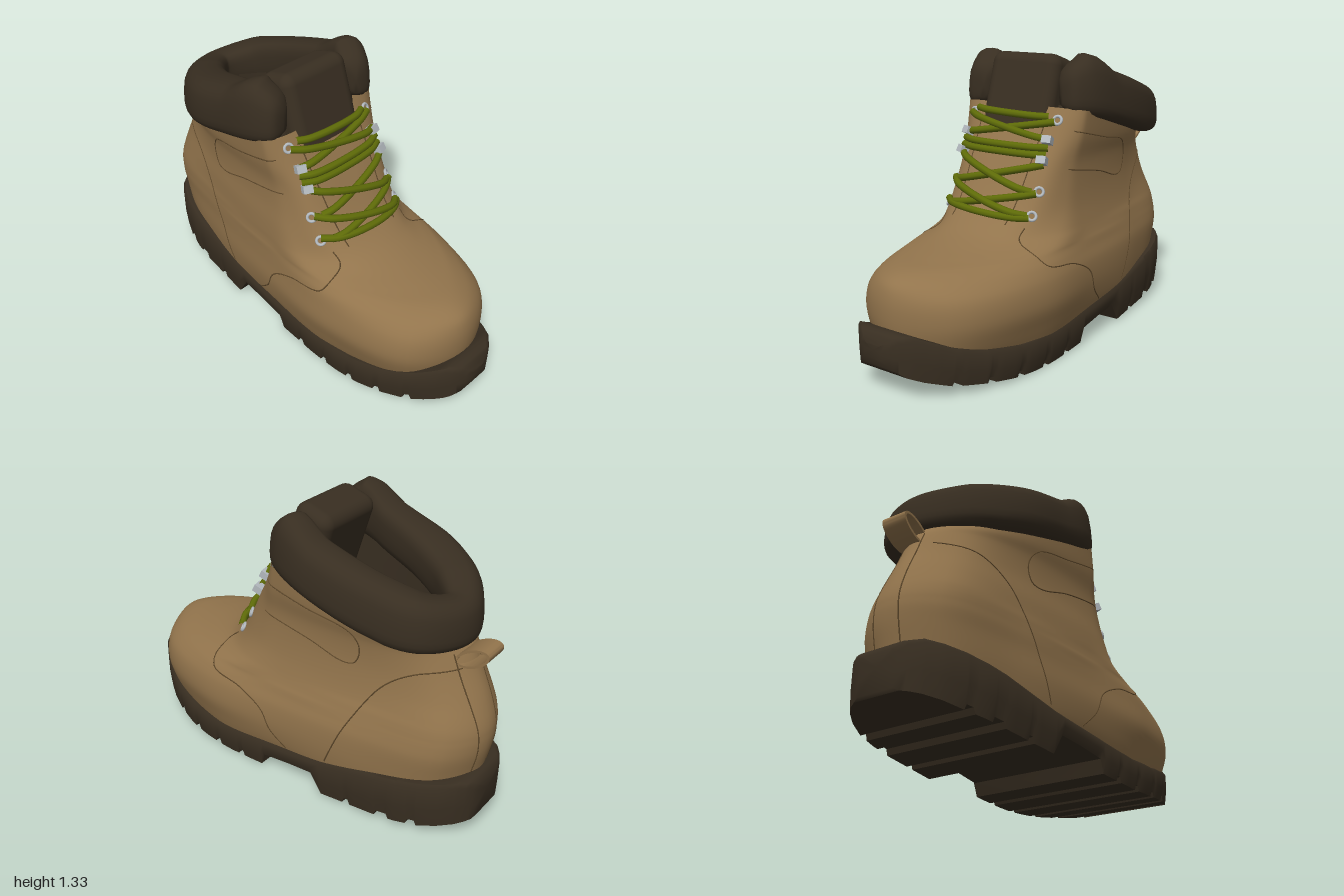
import * as THREE from 'three';
import { toCreasedNormals } from 'three/addons/utils/BufferGeometryUtils.js';
import { RoundedBoxGeometry } from 'three/addons/geometries/RoundedBoxGeometry.js';

const V = (x, y, z) => new THREE.Vector3(x, y, z);
const bend = (x) => (x > 0 ? 0.055 * x * x : 0.028 * x); // slight sideways curve of the foot

// Linear lookup in a short table of [x, value]
function lookup(table, x) {
  if (x <= table[0][0]) return table[0][1];
  for (let i = 1; i < table.length; i++) {
    const [x0, v0] = table[i - 1], [x1, v1] = table[i];
    if (x <= x1) return v0 + (v1 - v0) * (x - x0) / (x1 - x0);
  }
  return table[table.length - 1][1];
}

// Skin over closed cross-sections, optionally closing the first and last one
function loft(rows, capStart = false, capEnd = false) {
  const n = rows[0].length, pts = rows.flat(), idx = [];
  for (let i = 0; i < rows.length - 1; i++) for (let j = 0; j < n; j++) {
    const a = i * n + j, b = i * n + (j + 1) % n;
    idx.push(a, b, a + n, b, b + n, a + n);
  }
  const cap = (row, start, flip) => {
    const c = pts.length;
    pts.push(row.reduce((s, p) => s.add(p), V(0, 0, 0)).divideScalar(n));
    for (let j = 0; j < n; j++) {
      const a = start + j, b = start + (j + 1) % n;
      flip ? idx.push(c, b, a) : idx.push(c, a, b);
    }
  };
  if (capStart) cap(rows[0], 0, true);
  if (capEnd) cap(rows[rows.length - 1], (rows.length - 1) * n, false);
  const g = new THREE.BufferGeometry().setFromPoints(pts);
  g.setIndex(idx);
  g.computeVertexNormals();
  return g;
}

// Foot-shaped ring: heel height, front height, heel x, front x, half widths at five stations
const lean = [[0.4, 0], [0.62, 0.027], [1.1, 0.025]];
function ring([yb, yf, xb, xf, ...w]) {
  const xs = [xb + 0.11, -0.5, -0.05, -0.05 + (xf + 0.05) * 0.45, -0.05 + (xf + 0.05) * 0.87];
  const at = (x, z) => {
    const y = yb + (yf - yb) * (x - xb) / (xf - xb);
    return V(x, y, z + bend(x) + lookup(lean, y));
  };
  const pts = [at(xb, 0), ...xs.map((x, i) => at(x, w[i])), at(xf, 0),
    ...xs.map((x, i) => at(x, -w[i])).reverse()];
  return new THREE.CatmullRomCurve3(pts, true).getPoints(96).slice(0, 96);
}

function skin(table, steps) {
  const rings = table.map(ring);
  const columns = rings[0].map((_, j) =>
    new THREE.CatmullRomCurve3(rings.map((r) => r[j])).getPoints(steps));
  return Array.from({ length: steps + 1 }, (_, i) => columns.map((c) => c[i]));
}

export function createModel() {
  const boot = new THREE.Group();
  boot.name = 'boot';
  const mat = (name, color, side = THREE.FrontSide) => {
    const m = new THREE.MeshStandardMaterial({ color, side });
    m.name = name;
    return m;
  };
  const leather = mat('tan leather', 0x92744c, THREE.DoubleSide);
  const dark = mat('dark brown padding', 0x382e21, THREE.DoubleSide);
  const seamMat = mat('seam brown', 0x604a2c);
  const green = mat('olive lace', 0x5f6c08);
  const metal = mat('metal', 0xb4babf);
  const add = (name, geo, m, parent = boot) => {
    const mesh = new THREE.Mesh(geo, m);
    mesh.name = name;
    parent.add(mesh);
    return mesh;
  };

  // Leather upper
  const upper = add('upper', loft(skin([
    [0.12, 0.12, -0.92, 0.88, 0.18, 0.28, 0.32, 0.335, 0.21],
    [0.20, 0.20, -0.94, 0.90, 0.19, 0.295, 0.345, 0.36, 0.24],
    [0.30, 0.30, -0.957, 0.915, 0.20, 0.305, 0.36, 0.385, 0.26],
    [0.40, 0.40, -0.977, 0.91, 0.205, 0.305, 0.355, 0.375, 0.245],
    [0.46, 0.46, -0.983, 0.885, 0.205, 0.30, 0.345, 0.355, 0.20],
    [0.495, 0.495, -0.982, 0.82, 0.203, 0.295, 0.34, 0.335, 0.16],
    [0.515, 0.515, -0.98, 0.68, 0.202, 0.292, 0.335, 0.333, 0.16],
    [0.54, 0.54, -0.975, 0.53, 0.20, 0.288, 0.33, 0.328, 0.17],
    [0.575, 0.575, -0.965, 0.42, 0.195, 0.28, 0.325, 0.318, 0.19],
    [0.65, 0.65, -0.938, 0.31, 0.18, 0.27, 0.315, 0.305, 0.22],
    [0.75, 0.75, -0.895, 0.235, 0.17, 0.26, 0.305, 0.295, 0.23],
    [0.85, 0.86, -0.855, 0.17, 0.17, 0.265, 0.305, 0.295, 0.235],
    [0.88, 0.98, -0.835, 0.10, 0.18, 0.28, 0.325, 0.315, 0.24],
    [0.93, 1.10, -0.80, 0.035, 0.18, 0.285, 0.335, 0.325, 0.25],
  ], 60)), leather);

  // Lining and insole
  add('lining', loft(skin([
    [0.36, 0.36, -0.80, 0.10, 0.12, 0.20, 0.22, 0.20, 0.12],
    [0.65, 0.65, -0.80, 0.10, 0.13, 0.21, 0.24, 0.22, 0.15],
    [0.96, 1.10, -0.76, -0.03, 0.13, 0.22, 0.25, 0.24, 0.20],
  ], 12), true), dark);

  // Sole: slices along the foot, with lugs stepped into the underside
  const topY = [[-1, 0.27], [-0.98, 0.3], [-0.94, 0.31], [-0.6, 0.255], [-0.3, 0.195], [0, 0.165], [0.3, 0.145],
    [0.5, 0.155], [0.68, 0.185], [0.8, 0.22], [0.88, 0.26], [0.93, 0.288], [0.97, 0.28], [1, 0.24]];
  const ground = [[-1, 0.1], [-0.82, 0.055], [-0.6, 0.03], [-0.3, 0.005], [0.05, 0.01], [0.3, 0],
    [0.5, 0.01], [0.7, 0.035], [0.85, 0.06], [0.95, 0.11], [1, 0.17]];
  const footprint = [[-1, 0.085], [-0.99, 0.115], [-0.97, 0.15], [-0.94, 0.185], [-0.88, 0.23], [-0.8, 0.267],
    [-0.7, 0.295], [-0.6, 0.31], [-0.3, 0.335], [0, 0.35], [0.25, 0.36], [0.42, 0.357], [0.55, 0.342], [0.67, 0.31],
    [0.78, 0.262], [0.86, 0.212], [0.93, 0.157], [0.97, 0.11], [0.99, 0.075], [1, 0.045]];
  const underside = [[-1, 0.11]];
  const lugs = (list) => list.forEach(([a, b], i) => {
    const put = (x, up) => underside.push([x, lookup(ground, x) + up]);
    if (i > 0) put(a - 0.01, 0.025);
    put(a, 0); put(b, 0);
    if (i < list.length - 1) put(b + 0.01, 0.025);
  });
  lugs([[-0.99, -0.8], [-0.75, -0.67], [-0.6, -0.47], [-0.43, -0.31]]);
  underside.push([-0.25, 0.1], [-0.12, 0.09], [0.03, 0.072]);
  lugs([[0.05, 0.16], [0.2, 0.32], [0.36, 0.48], [0.52, 0.63], [0.67, 0.77], [0.81, 0.9]]);
  underside.push([0.95, 0.11], [0.98, 0.14], [1, 0.18]);
  const xs = [...new Set([...underside, ...topY, ...footprint].map((p) => p[0])
    .concat(Array.from({ length: 39 }, (_, i) => -0.95 + i * 0.05)).map((x) => x.toFixed(3)))]
    .map(Number).sort((a, b) => a - b);
  const slices = xs.map((x) => {
    const t = lookup(topY, x), b = lookup(underside, x), w = lookup(footprint, x);
    const half = [[w * 0.8, t], [w - 0.012, t - 0.003], [w, t - 0.02], [w, b + (t - b) * 0.4], [w * 0.96, b]];
    return [...half, ...half.map(([z, y]) => [-z, y]).reverse()].map(([z, y]) => V(x, y, z + bend(x)));
  });
  add('sole', toCreasedNormals(loft(slices, true, true), 0.9), dark);

  // Padded collar swept round the ankle, open at the front: path x, z and half thickness
  const around = [[0.01, 0.245, 0.075], [-0.1, 0.295, 0.082], [-0.3, 0.278, 0.1], [-0.5, 0.24, 0.11],
    [-0.68, 0.135, 0.1], [-0.79, -0.03, 0.078], [-0.71, -0.205, 0.088], [-0.55, -0.265, 0.085],
    [-0.3, -0.285, 0.087], [-0.1, -0.262, 0.08], [0.01, -0.195, 0.07]];
  const path = new THREE.CatmullRomCurve3(around.map(([x, z]) => V(x, 0, z)));
  const thickness = new THREE.CatmullRomCurve3(around.map(([, , h], i) => V(i, h, 0)));
  const collarTop = [[-0.87, 1.05], [-0.78, 1.095], [-0.7, 1.13], [-0.5, 1.185], [-0.25, 1.255], [-0.15, 1.32],
    [-0.09, 1.338], [0, 1.27], [0.04, 1.2]];
  const collarBottom = [[-0.8, 0.88], [-0.6, 0.91], [-0.4, 0.965], [0.04, 1.09]];
  const round = (v) => Math.sign(v) * Math.abs(v) ** 0.7;
  const sections = [];
  for (let i = 0; i <= 80; i++) {
    const t = i / 80, p = path.getPoint(t), d = path.getTangent(t), h = thickness.getPoint(t).y;
    const k = Math.min(1, (Math.min(t, 1 - t) + 0.002) / 0.05);
    const s = Math.sqrt(1 - (1 - k) ** 2);
    const lo = lookup(collarBottom, p.x), hi = lookup(collarTop, p.x);
    sections.push(Array.from({ length: 24 }, (_, j) => {
      const a = j / 24 * Math.PI * 2;
      const o = (round(Math.cos(a)) * h - Math.sin(a) * 0.018) * s;
      const y = (lo + hi) / 2 + round(Math.sin(a)) * (hi - lo) / 2 * (0.55 + 0.45 * s);
      return V(p.x + d.z * o, y, p.z - d.x * o + 0.005);
    }));
  }
  add('collar', loft(sections, true, true), dark);

  // Padded tongue
  const tongue = add('tongue', new RoundedBoxGeometry(0.2, 0.47, 0.375, 4, 0.055), dark);
  tongue.position.set(-0.045, 1.088, 0.035);
  tongue.rotation.z = 0.3;

  // Find a point on the leather along a ray
  const caster = new THREE.Raycaster();
  const hit = (from, dir) => {
    caster.set(from, dir);
    return caster.intersectObject(upper)[0];
  };
  const fromFront = (y, z) => {
    const h = hit(V(3, y, z), V(-1, 0, 0));
    return h && h.point.x > -0.15 ? h.point : V(0.05, y, z);
  };

  // Seams laid on the leather
  const seams = new THREE.Group();
  seams.name = 'seams';
  boot.add(seams);
  const seam = (name, pts) => {
    if (pts.length > 2) {
      add(name, new THREE.TubeGeometry(new THREE.CatmullRomCurve3(pts), pts.length * 2, 0.003, 5), seamMat, seams);
    }
  };
  const sideSeams = {
    heelSeam: [[-0.85, 0.79], [-0.7, 0.76], [-0.57, 0.67], [-0.45, 0.48], [-0.33, 0.21]],
    vampSeam: [[0.3, 0.6], [0.36, 0.54], [0.34, 0.47], [0.15, 0.43], [0.02, 0.36], [-0.03, 0.26], [-0.11, 0.18]],
    anklePatchSeam: [[0.03, 1.0], [-0.2, 0.945], [-0.41, 0.895], [-0.455, 0.82], [-0.43, 0.74], [-0.37, 0.73],
      [-0.2, 0.78], [0.06, 0.83]],
  };
  for (const s of [1, -1]) {
    for (const [name, pts] of Object.entries(sideSeams)) {
      const c = new THREE.CatmullRomCurve3(pts.map(([x, y]) => V(x, y, 0)));
      seam(name, c.getSpacedPoints(36).map((p) => hit(V(p.x, p.y, 3 * s), V(0, 0, -s)))
        .filter(Boolean).map((h) => h.point));
    }
    const ts = Array.from({ length: 16 }, (_, i) => i / 15);
    seam('lacingEdgeSeam', ts.map((t) => fromFront(0.61 + 0.43 * t, 0.035 + s * (0.15 + 0.03 * t))));
    seam('heelStripSeam', ts.map((t) => hit(V(-3, 0.3 + 0.55 * t, -0.03 + s * 0.065), V(1, 0, 0)))
      .filter(Boolean).map((h) => h.point));
  }

  // Heel pull loop
  const loop = new THREE.Shape().absellipse(-0.893, 0.853, 0.085, 0.04, 0, Math.PI * 2, false, -0.5);
  loop.holes.push(new THREE.Path().absellipse(-0.893, 0.853, 0.073, 0.029, 0, Math.PI * 2, true, -0.5));
  const loopGeo = new THREE.ExtrudeGeometry(loop, { depth: 0.12, bevelEnabled: false, curveSegments: 24 });
  add('pullLoop', toCreasedNormals(loopGeo, 0.6), leather).position.z = -0.09;

  // Eyelets and lace hooks
  for (const s of [1, -1]) for (const [y, hook] of [[0.645, 0], [0.745, 0], [0.87, 1], [0.955, 1], [1.045, 0]]) {
    const z = 0.035 + s * (hook ? 0.222 : 0.238);
    const h = hit(V(3, y, z), V(-1, 0, 0));
    if (!h) continue;
    const n = h.face.normal.clone();
    if (n.x < 0) n.negate();
    const part = add(hook ? 'laceHook' : 'eyelet',
      hook ? new THREE.BoxGeometry(0.045, 0.035, 0.05) : new THREE.TorusGeometry(0.019, 0.007, 8, 16), metal);
    part.position.copy(h.point).addScaledVector(n, hook ? 0.015 : 0.004);
    part.lookAt(part.position.clone().add(n));
  }

  // Laces: start y and z, end y and z, lift off the leather
  for (const [y0, z0, y1, z1, lift] of [
    [0.66, 0.275, 0.64, -0.2, 0.01], [0.755, 0.27, 0.65, -0.19, 0.03], [0.655, 0.24, 0.74, -0.2, 0.012],
    [0.875, 0.275, 0.745, -0.18, 0.03], [0.755, 0.24, 0.86, -0.2, 0.012], [0.93, 0.275, 0.93, -0.2, 0.02],
    [0.9, 0.275, 0.9, -0.2, 0.015], [1.045, 0.275, 0.965, -0.2, 0.03],
    [0.96, 0.27, 1.04, -0.2, 0.012], [1.07, 0.235, 1.06, -0.165, 0.03]]) {
    const pts = [0, 0.12, 0.3, 0.5, 0.7, 0.88, 1].map((t) => {
      const p = fromFront(y0 + (y1 - y0) * t, z0 + (z1 - z0) * t);
      p.x += 0.014 + lift * Math.sqrt(Math.sin(Math.PI * t) + 1e-6);
      return p;
    });
    add('lace', new THREE.TubeGeometry(new THREE.CatmullRomCurve3(pts), 28, 0.017, 8), green);
  }
  return boot;
}
